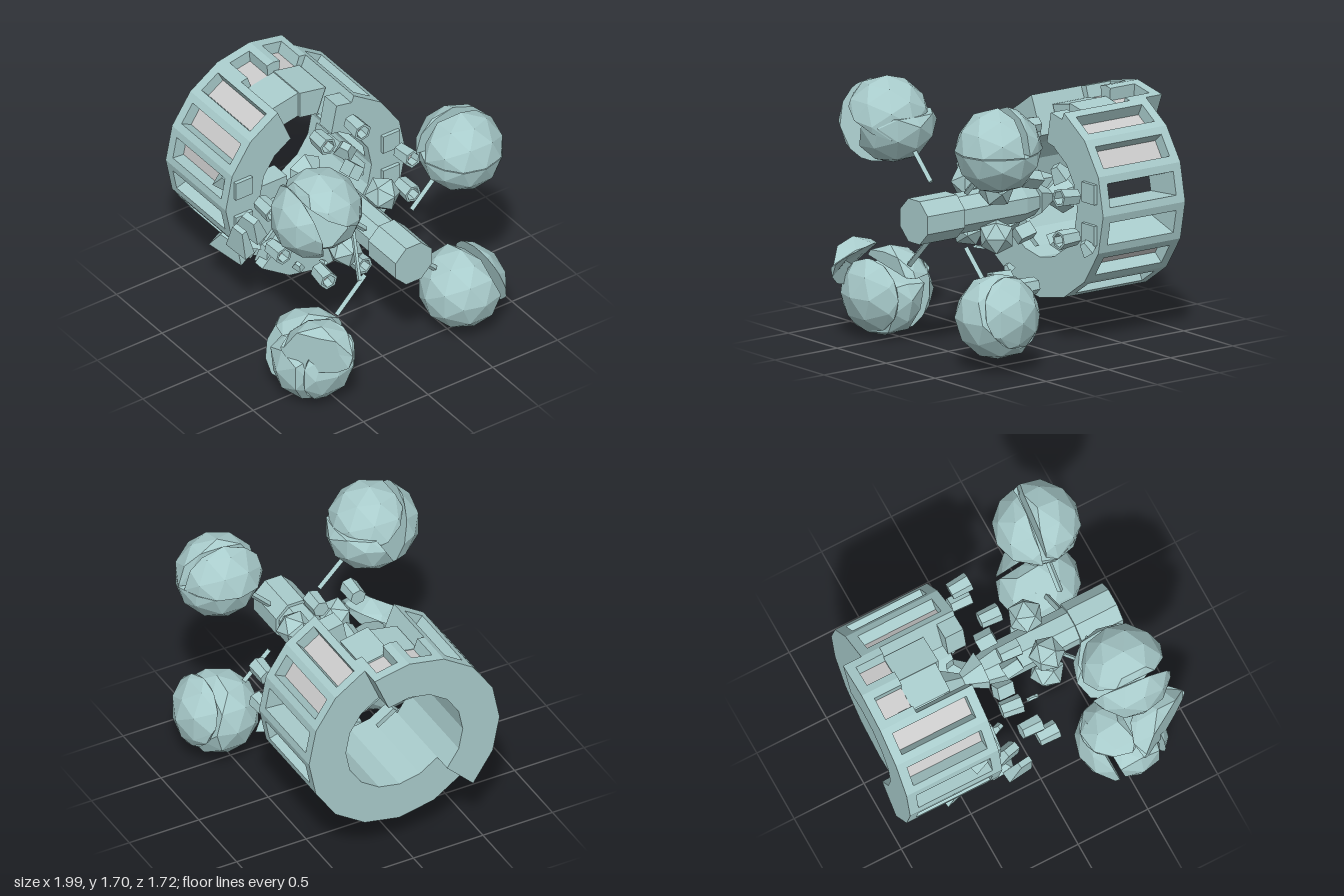
import * as THREE from 'three';

const CY = 0.9, CZ = -0.03, STEP = Math.PI / 8;
const teal = new THREE.MeshStandardMaterial({ color: 0xa9cccc, flatShading: true });
const grey = new THREE.MeshStandardMaterial({ color: 0xcccccc, flatShading: true });

function add(parent, name, geo, mat = teal) {
  const mesh = new THREE.Mesh(geo, mat);
  mesh.name = name;
  parent.add(mesh);
  return mesh;
}

// Block inside one of the sixteen ring sides: u runs along the side, r outwards, x along the axis
function ringBlock(i, u0, u1, r0, r1, x0, x1) {
  const geo = new THREE.BoxGeometry(1, 1, 1), p = geo.attributes.position;
  const a = i * STEP, b = a + STEP, lerp = THREE.MathUtils.lerp;
  for (let k = 0; k < p.count; k++) {
    const u = lerp(u1, u0, p.getZ(k) + 0.5), r = lerp(r0, r1, p.getY(k) + 0.5);
    p.setXYZ(k, lerp(x0, x1, p.getX(k) + 0.5),
      CY + r * lerp(Math.sin(a), Math.sin(b), u),
      CZ + r * lerp(Math.cos(a), Math.cos(b), u));
  }
  geo.computeVertexNormals();
  return geo;
}

// One ring side: a raised frame around a window with a recessed panel, or with none if pierced
function ringSide(parent, i, x0, x1, { snapped = false, pierced = false, panel = grey } = {}) {
  const side = new THREE.Group();
  side.name = 'ringSide';
  parent.add(side);
  const b = 0.065, end = snapped ? x1 : x1 - b, floor = pierced ? 0.385 : 0.56;
  if (!pierced) {
    add(side, 'core', ringBlock(i, 0, 1, 0.385, 0.56, x0, x1));
    add(side, 'windowPanel', ringBlock(i, 0.2, 0.8, 0.55, 0.566, x0 + b, end), panel);
  }
  for (const [u0, u1] of [[0, 0.2], [0.8, 1]])
    add(side, 'windowFrame', ringBlock(i, u0, u1, floor, 0.65, x0 + b, end));
  add(side, 'rim', ringBlock(i, 0, 1, floor, 0.65, x0, x0 + b));
  if (!snapped) add(side, 'rim', ringBlock(i, 0, 1, floor, 0.65, x1 - b, x1));
}

// Piece of a faceted ball: corners behind each plane [nx, ny, nz, d] are pressed onto its cut circle
function ballPiece(r, planes) {
  const geo = new THREE.IcosahedronGeometry(r, 1), p = geo.attributes.position;
  const v = new THREE.Vector3(), n = new THREE.Vector3();
  for (let k = 0; k < p.count; k++) {
    v.fromBufferAttribute(p, k);
    for (const [x, y, z, d] of planes) {
      n.set(x, y, z).normalize();
      const depth = v.dot(n);
      if (depth < d)
        v.addScaledVector(n, -depth).clampLength(0, Math.sqrt(r * r - d * d)).addScaledVector(n, d);
    }
    p.setXYZ(k, v.x, v.y, v.z);
  }
  geo.computeVertexNormals();
  return geo;
}

// Thin bar between two points
function bar(parent, name, from, to, r, sides) {
  const a = new THREE.Vector3(...from), b = new THREE.Vector3(...to);
  const mesh = add(parent, name, new THREE.CylinderGeometry(r, r, a.distanceTo(b), sides));
  mesh.position.copy(a).lerp(b, 0.5);
  mesh.quaternion.setFromUnitVectors(new THREE.Vector3(0, 1, 0), b.sub(a).normalize());
}

// Solid turned around the x axis
function turned(parent, name, pts, sides) {
  const geo = new THREE.LatheGeometry(pts.map(([x, r]) => new THREE.Vector2(r, x)), sides);
  geo.rotateY(Math.PI / sides).rotateZ(-Math.PI / 2);
  const mesh = add(parent, name, geo);
  mesh.position.set(0, CY, CZ);
  return mesh;
}

export function createModel() {
  const model = new THREE.Group();

  // Ring, split in two parts that slid apart along the axis
  const ring = new THREE.Group();
  ring.name = 'ring';
  model.add(ring);
  for (let i = -2; i < 3; i++) ringSide(ring, i, -1, -0.34);
  for (let i = 3; i < 5; i++) ringSide(ring, i, -1, -0.74, { snapped: true });
  for (let i = 5; i < 13; i++) ringSide(ring, i, -0.87, -0.21, { pierced: i === 7 || i === 8 });
  // Broken side at the lower front, with its far rim split off
  ringSide(ring, 13, -0.87, -0.42, { panel: teal });
  add(ring, 'brokenRim', ringBlock(13, 0, 1, 0.385, 0.65, -0.29, -0.21));
  add(ring, 'brokenRim', ringBlock(13, 0, 1, 0.385, 0.5, -0.42, -0.32));
  // Broken blocks left in the gap at the top of the ring
  add(ring, 'brokenBlock', ringBlock(3, 0.1, 1, 0.39, 0.57, -0.74, -0.47));
  add(ring, 'brokenBlock', ringBlock(4, 0, 0.9, 0.39, 0.58, -0.74, -0.45));
  add(ring, 'brokenBlock', ringBlock(4, 0.5, 1, 0.39, 0.6, -0.34, -0.21));

  // Shaft with a thicker end and a pinched, broken root
  turned(model, 'shaft', [[-0.14, 0], [-0.14, 0.1], [-0.02, 0.13], [0.51, 0.13], [0.51, 0]], 8);
  turned(model, 'shaftEnd', [[0.5, 0], [0.5, 0.152], [0.8, 0.152], [0.8, 0]], 8);
  turned(model, 'shaftRoot', [[-0.4, 0], [-0.4, 0.13], [-0.28, 0.05], [-0.14, 0.13], [-0.14, 0]], 6);

  // Spokes: one whole, the others snapped off near the shaft
  const spoke = add(model, 'spoke', new THREE.BoxGeometry(0.14, 0.13, 0.24));
  spoke.position.set(-0.42, CY, 0.26);
  for (const sy of [-1, 1]) for (const sz of [-1, 1]) {
    const stub = add(model, 'spokeStub', new THREE.BoxGeometry(0.12, 0.09, 0.08));
    stub.position.set(-0.02 + 0.03 * sz * sy, CY + sy * 0.17, CZ + sz * 0.12);
    stub.rotation.set(sy * sz * 0.7, 0.2 * sz, 0.15 * sy);
    // Small faceted tank beside the shaft
    const tank = add(model, 'tank', new THREE.IcosahedronGeometry(0.118, 0));
    tank.position.set(0.25, CY + sy * 0.155, CZ + sz * 0.145);
    tank.rotation.set(0.5 * sy, 0.3 * sz, 0.2);
    // Diagonal arm of a large ball, snapped off before the shaft
    const at = (t) => [0.52, CY + sy * t, CZ + sz * t];
    bar(model, 'arm', at(0.18), at(0.4), 0.02, 4);
  }
  bar(model, 'looseArm', [0.36, 0.95, 0.13], [0.53, 0.7, 0.2], 0.015, 4);

  // Nozzles standing off the ring in pairs; those at the sides have a square mount
  const offsets = [0.05, -0.07, -0.015, -0.015, -0.02, -0.02, 0, 0];
  const wall = [[-0.07, 0], [-0.07, 0.055], [0.07, 0.062], [0.07, 0.045], [0, 0.042], [0, 0]];
  for (let k = 0; k < 8; k++) {
    const q = Math.floor(k / 2) * Math.PI / 2, a = q + (k % 2 ? 0.25 : -0.25);
    const y = CY + 0.54 * Math.sin(a), z = CZ + 0.54 * Math.cos(a);
    const nozzle = turned(model, 'nozzle', wall, 6);
    nozzle.position.set(offsets[k], y, z);
    nozzle.rotation.set(a, 0, k % 3 === 1 ? -0.1 : 0.03);
    const glass = add(nozzle, 'nozzleCore', new THREE.CylinderGeometry(0.042, 0.042, 0.01, 6), grey);
    glass.rotation.z = Math.PI / 2;
    if (k % 4 < 2) {
      const mount = add(model, 'nozzleMount', new THREE.BoxGeometry(0.03, 0.13, 0.13));
      mount.position.set(k < 2 ? -0.33 : -0.2, y, z);
    }
  }

  // Large balls, each cracked into pieces: [planes, shift]
  const balls = [
    { at: [0.55, 1.43, -0.57], pieces: [
      [[[0, 1, 0, 0.003], [1, 0, 0.1, -0.04]], [0, 0, 0]],
      [[[0, 1, 0, 0.003], [-1, 0, -0.1, 0.06]], [-0.02, 0, 0.01]],
      [[[0, -1, 0, 0.003]], [0, 0, 0]]] },
    { at: [0.55, 0.35, -0.57], pieces: [
      [[[0.1, -0.3, 1, -0.14]], [0, 0, 0]],
      [[[-0.1, 0.3, -1, 0.15]], [0.02, 0.01, -0.01]]] },
    { at: [0.55, 1.42, 0.53], pieces: [
      [[[0, 0.85, -0.5, 0.03], [0, 0.2, -1, -0.13]], [0.02, 0.01, 0.01]],
      [[[0, -0.5, -0.85, 0.02], [0, -1, 0, -0.06]], [-0.01, 0, -0.02]],
      [[[-0.1, -0.25, 1, 0.08]], [0.02, -0.01, 0.06]]] },
    { at: [0.55, 0.28, 0.58], pieces: [
      [[[1, 0.2, 0, -0.12], [-1, 0, 0.2, -0.14], [0, -1, 0.2, -0.14]], [0, 0, 0]],
      [[[-1, -0.2, 0, 0.12]], [-0.04, 0.02, 0]],
      [[[1, 0, -0.2, 0.14]], [0.01, 0.01, 0]],
      [[[0, 1, -0.2, 0.15], [-1, 0, 0, -0.05]], [-0.04, 0.03, 0]]] },
    // Shard thrown off the lower front ball
    { at: [0.755, 0.39, 0.65], pieces: [
      [[[0.22, 0.82, 0.52, 0.12], [-0.52, 0, -0.86, -0.06]], [0, 0, 0]]] },
  ];
  for (const { at, pieces } of balls) {
    const ball = new THREE.Group();
    ball.name = 'ball';
    ball.position.set(...at);
    model.add(ball);
    for (const [planes, shift] of pieces)
      add(ball, 'ballPiece', ballPiece(0.277, planes)).position.set(...shift);
  }

  // Loose fragments: [x, y, z, width, height, depth, turn]
  const debris = [
    [-0.24, 0.8, 0.5, 0.2, 0.16, 0.1, 0.3], [-0.3, 0.64, 0.48, 0.16, 0.1, 0.14, -0.4],
    [-0.2, 0.76, 0.61, 0.18, 0.2, 0.08, 0.2], [-0.42, 1.04, 0.53, 0.2, 0.12, 0.1, 0.5],
    [-0.14, 0.41, 0.2, 0.07, 0.05, 0.05, 0.4], [0.11, 0.59, 0.18, 0.08, 0.015, 0.03, -0.2],
    [-0.14, 0.7, -0.6, 0.1, 0.08, 0.07, 0.6], [-0.22, 1.1, -0.22, 0.12, 0.1, 0.1, 0.5],
    [-0.24, 0.66, -0.2, 0.12, 0.1, 0.1, -0.5], [-0.55, 0.45, 0.42, 0.26, 0.14, 0.16, 0.35],
    [-0.27, 0.5, 0.33, 0.12, 0.14, 0.16, 0.1],
  ];
  for (const [x, y, z, w, h, d, turn] of debris) {
    const geo = new THREE.CylinderGeometry(0.35, 0.7, 1, 4).rotateY(Math.PI / 4);
    const piece = add(model, 'fragment', geo);
    piece.scale.set(w, h, d);
    piece.position.set(x, y, z);
    piece.rotation.set(turn, turn * 0.7, -turn);
  }
  return model;
}
